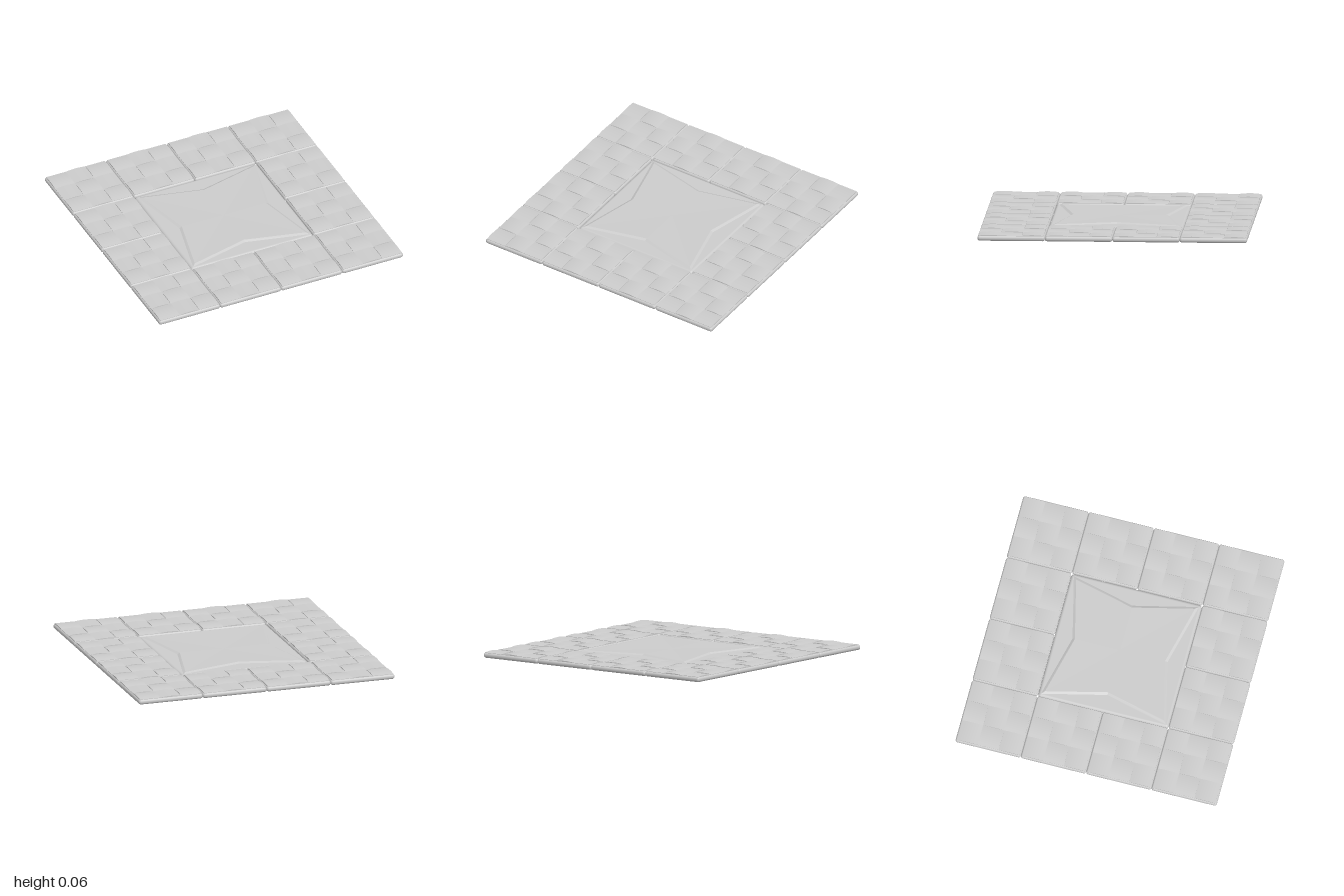
import * as THREE from 'three';
import { RoundedBoxGeometry } from 'three/addons/geometries/RoundedBoxGeometry.js';

const stone = new THREE.MeshStandardMaterial({ color: 0xcccccc });

function add(parent, geometry, name, x = 0, y = 0, z = 0) {
  const mesh = new THREE.Mesh(geometry, stone);
  mesh.name = name;
  mesh.position.set(x, y, z);
  parent.add(mesh);
  return mesh;
}

// Square weave patch whose top arches gently along x
function patchGeometry(size, base, rise) {
  const g = new THREE.BoxGeometry(size, base, size, 8, 1, 1);
  const p = g.attributes.position;
  for (let i = 0; i < p.count; i++) {
    if (p.getY(i) > 0) {
      const t = p.getX(i) / (size / 2);
      p.setY(i, base / 2 + rise * (1 - t * t));
    }
  }
  g.computeVertexNormals();
  return g;
}

// Four-pointed star: a shallow faceted face with a bevelled rim
function starGeometry() {
  const ring = (tip, tipY, notch, notchY) => Array.from({ length: 8 }, (_, i) => {
    const a = i * Math.PI / 4;
    const r = i % 2 ? tip * Math.SQRT2 : notch;
    return [Math.sin(a) * r, i % 2 ? tipY : notchY, Math.cos(a) * r];
  });
  const inner = ring(0.455, 0.056, 0.345, 0.058);
  const outer = ring(0.485, 0.046, 0.368, 0.046);
  const centre = [0, 0.055, 0];
  const v = [];
  for (let i = 0; i < 8; i++) {
    const j = (i + 1) % 8;
    v.push(...centre, ...inner[i], ...inner[j]);
    v.push(...inner[i], ...outer[i], ...outer[j]);
    v.push(...inner[i], ...outer[j], ...inner[j]);
  }
  const g = new THREE.BufferGeometry();
  g.setAttribute('position', new THREE.Float32BufferAttribute(v, 3));
  g.computeVertexNormals();
  return g;
}

export function createModel() {
  const model = new THREE.Group();
  model.name = 'pavedFloor';

  // Border of small tiles, each with a three by three basket weave
  const body = new RoundedBoxGeometry(0.5, 0.039, 0.5, 3, 0.018);
  const patch = patchGeometry(0.16, 0.01, 0.006);
  for (let row = 0; row < 4; row++) {
    for (let col = 0; col < 4; col++) {
      if (row % 3 && col % 3) continue;
      const tile = new THREE.Group();
      tile.name = 'borderTile';
      tile.position.set(-0.75 + col * 0.5, 0, -0.75 + row * 0.5);
      add(tile, body, 'tileBody', 0, 0.0345, 0);
      for (let i = 0; i < 9; i++) {
        const m = add(tile, patch, 'weavePatch',
          (i % 3 - 1) * 0.16, 0.05, (Math.floor(i / 3) - 1) * 0.16);
        if (i % 2 === 0) m.rotation.y = Math.PI / 2;
      }
      model.add(tile);
    }
  }

  // Large centre tile with its star
  const centre = new THREE.Group();
  centre.name = 'centreTile';
  add(centre, new RoundedBoxGeometry(1, 0.048, 1, 3, 0.022), 'centreBody', 0, 0.024, 0);
  add(centre, starGeometry(), 'star');
  model.add(centre);

  return model;
}
